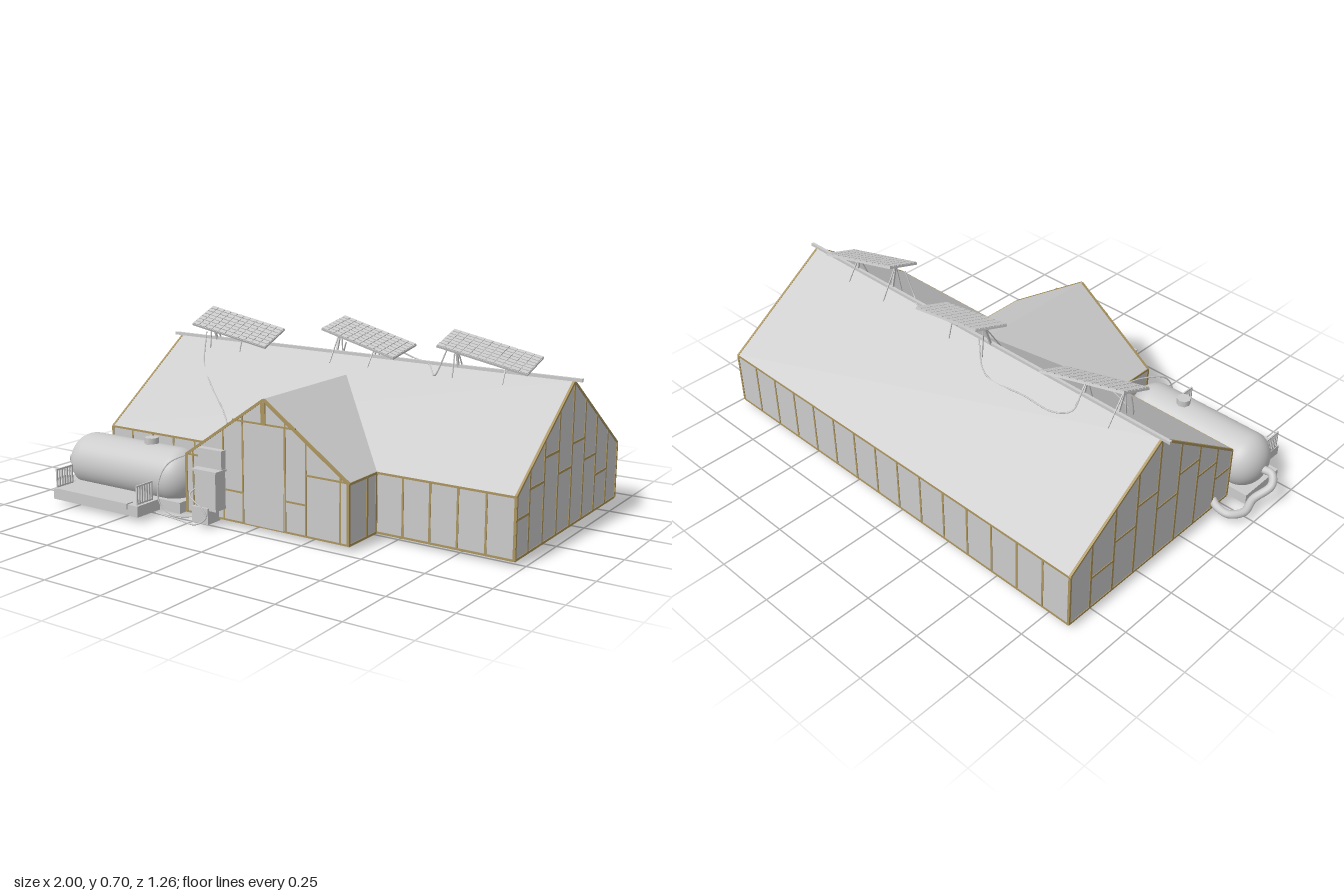
import * as THREE from 'three';

const V = (x, y, z) => new THREE.Vector3(x, y, z);
const grey = new THREE.MeshStandardMaterial({ color: 0xcccccc });
const timber = new THREE.MeshStandardMaterial({ color: 0xab9560 });
const FLOOR = 0.015, EAVE = 0.245, RIDGE = 0.562, RIDGE_Z = -0.172;
const LEFT = 0.97, RIGHT = -0.85, FRONT = 0.28, BACK = -0.624;
const WING_X = 0.06, WING_HALF = 0.365, WING_TOP = 0.498, WING_Z = 0.463;

export function createModel() {
  const model = new THREE.Group();
  const add = (name, geo, mat = grey, parent = model) => {
    const mesh = new THREE.Mesh(geo, mat);
    mesh.name = name;
    parent.add(mesh);
    return mesh;
  };
  const group = (name) => {
    const g = new THREE.Group();
    g.name = name;
    model.add(g);
    return g;
  };
  // Box given by its minimum and maximum corners
  const box = (name, x0, x1, y0, y1, z0, z1, parent, mat) => {
    const m = add(name, new THREE.BoxGeometry(x1 - x0, y1 - y0, z1 - z0), mat, parent);
    m.position.set((x0 + x1) / 2, (y0 + y1) / 2, (z0 + z1) / 2);
    return m;
  };
  // Square bar from a to b
  const bar = (name, a, b, w = 0.008, parent = model, mat = timber) => {
    const m = add(name, new THREE.BoxGeometry(w, w, a.distanceTo(b)), mat, parent);
    m.position.copy(a).lerp(b, 0.5);
    m.lookAt(b);
    return m;
  };
  const tube = (name, pts, r, sides = 6, seg = 64) =>
    add(name, new THREE.TubeGeometry(new THREE.CatmullRomCurve3(pts.map((p) => V(...p))), seg, r, sides));
  const prism = (pts, depth) =>
    new THREE.ExtrudeGeometry(new THREE.Shape(pts.map((p) => new THREE.Vector2(...p))), { depth, bevelEnabled: false });
  const roofY = (z) => RIDGE - (z > RIDGE_Z
    ? (z - RIDGE_Z) / (FRONT - RIDGE_Z) : (RIDGE_Z - z) / (RIDGE_Z - BACK)) * (RIDGE - EAVE);
  const wingY = (x) => WING_TOP - Math.abs(x - WING_X) / WING_HALF * (WING_TOP - EAVE);

  // Main hall, extruded along x, and the gabled front wing
  const hall = add('mainHall', prism([[-FRONT, FLOOR], [-BACK, FLOOR], [-BACK, EAVE], [-RIDGE_Z, RIDGE], [-FRONT, EAVE]], LEFT - RIGHT));
  hall.rotation.y = Math.PI / 2;
  hall.position.x = RIGHT;
  const w0 = WING_X - WING_HALF, w1 = WING_X + WING_HALF;
  const wing = add('frontWing', prism([[w0, FLOOR], [w1, FLOOR], [w1, EAVE], [WING_X, WING_TOP], [w0, EAVE]], WING_Z + 0.08));
  wing.position.z = -0.08;
  bar('ridgeBeam', V(-0.885, 0.565, RIDGE_Z), V(1, 0.565, RIDGE_Z), 0.012, model, grey);

  // Timber frame of both end walls
  const frame = group('timberFrame');
  const Y0 = FLOOR + 0.004, Y1 = EAVE - 0.004;
  const studsZ = [0.278, 0.18, 0.065, -0.053, RIDGE_Z, -0.285, -0.4, -0.517, -0.621];
  const railY = [0.16, EAVE, 0.33, EAVE, 0.33, EAVE, 0.16, 0];
  for (const x of [RIGHT + 0.002, LEFT - 0.002]) {
    studsZ.forEach((z, i) => {
      bar('endStud', V(x, Y0, z), V(x, roofY(z) - 0.004, z), 0.009, frame);
      if (railY[i]) bar('endRail', V(x, railY[i], z), V(x, railY[i], studsZ[i + 1]), 0.009, frame);
    });
    for (const z of [FRONT, BACK]) bar('endRafter', V(x, EAVE - 0.004, z), V(x, RIDGE - 0.004, RIDGE_Z), 0.009, frame);
    bar('endSill', V(x, Y0, FRONT), V(x, Y0, BACK), 0.009, frame);
  }

  // Long walls: back, and the front on both sides of the wing
  const longWall = (x0, x1, z, count) => {
    for (let i = 0; i <= count; i++) {
      const x = x0 + (x1 - x0) * i / count;
      bar('wallStud', V(x, Y0, z), V(x, Y1, z), 0.008, frame);
    }
    for (const y of [Y0, Y1]) bar('wallPlate', V(x0, y, z), V(x1, y, z), 0.008, frame);
  };
  longWall(RIGHT, LEFT, BACK + 0.002, 15);
  longWall(w1, LEFT, FRONT - 0.002, 5);
  longWall(RIGHT, w0, FRONT - 0.002, 5);

  // Wing frame: side walls and gable front
  for (const s of [-1, 1]) {
    const x = WING_X + s * (WING_HALF - 0.002);
    for (const z of [0.285, 0.345, WING_Z - 0.002]) bar('wingStud', V(x, Y0, z), V(x, Y1, z), 0.01, frame);
    for (const y of [Y0, Y1]) bar('wingPlate', V(x, y, FRONT), V(x, y, WING_Z), 0.009, frame);
    const z = WING_Z - 0.002, at = (d) => WING_X + s * d;
    bar('gableRafter', V(at(WING_HALF), EAVE - 0.004, z), V(WING_X, WING_TOP - 0.004, z), 0.01, frame);
    for (const d of [0.095, 0.185, 0.33]) bar('gableStud', V(at(d), Y0, z), V(at(d), wingY(at(d)) - 0.004, z), 0.007, frame);
    bar('gableRail', V(at(0.095), 0.135, z), V(at(0.185), 0.135, z), 0.007, frame);
    bar('gableRail', V(at(0.185), EAVE, z), V(at(0.355), EAVE, z), 0.007, frame);
  }
  bar('gableTie', V(-0.08, 0.405, WING_Z - 0.002), V(0.2, 0.405, WING_Z - 0.002), 0.007, frame);
  bar('gableSill', V(w0, Y0, WING_Z - 0.002), V(w1, Y0, WING_Z - 0.002), 0.007, frame);
  box('kingPost', 0.05, 0.07, 0.405, 0.485, 0.455, 0.467, frame, timber);
  box('door', -0.024, 0.148, 0.02, 0.4, 0.455, 0.465);

  // Tank with elliptical ends, filler cap and outlet pipe
  const profile = [];
  for (let i = 0; i <= 20; i++) {
    const a = Math.PI * (i / 20 - 0.5);
    profile.push(new THREE.Vector2(0.11 * Math.cos(a), 0.09 * Math.sin(a) + (i < 10 ? -0.22 : 0.22)));
    if (i === 10) profile.splice(10, 0, new THREE.Vector2(0.11, -0.22));
  }
  const tank = add('tank', new THREE.LatheGeometry(profile, 40));
  tank.rotation.z = -Math.PI / 2;
  tank.position.set(-0.62, 0.127, 0.395);
  add('tankCap', new THREE.CylinderGeometry(0.028, 0.028, 0.025, 8)).position.set(-0.54, 0.247, 0.39);
  add('tankCapNeck', new THREE.CylinderGeometry(0.018, 0.018, 0.03, 8)).position.set(-0.54, 0.232, 0.39);
  tube('tankPipe', [[-0.92, 0.12, 0.395], [-0.965, 0.12, 0.395], [-0.984, 0.09, 0.37], [-0.955, 0.05, 0.3],
    [-0.965, 0.038, 0.23], [-0.93, 0.038, 0.18], [-0.88, 0.04, 0.18], [-0.84, 0.045, 0.2]], 0.016, 12);

  // Tank platform with its low kerb and slatted side rails
  const stand = group('tankPlatform');
  box('tankBase', -0.93, -0.31, FLOOR, 0.058, 0.29, 0.5, stand);
  box('platformDeck', -0.85, -0.41, FLOOR, 0.058, 0.5, 0.625, stand);
  box('platformKerb', -0.82, -0.46, 0.04, 0.062, 0.595, 0.63, stand);
  for (const x of [-0.845, -0.425]) {
    for (const y of [0.062, 0.13]) bar('railBar', V(x, y, 0.525), V(x, y, 0.612), 0.006, stand, grey);
    for (let i = 0; i < 7; i++) {
      const z = 0.528 + i * 0.0135;
      bar('railSlat', V(x, 0.055, z), V(x, 0.13, z), 0.006, stand, grey);
    }
  }

  // Electrical cabinet beside the door
  box('upperCabinet', -0.225, -0.115, 0.205, 0.285, 0.455, 0.489);
  box('lowerCabinet', -0.215, -0.118, 0.06, 0.21, 0.455, 0.522);
  box('cabinetBase', -0.225, -0.15, 0.008, 0.07, 0.455, 0.53);
  box('cabinetLid', -0.228, -0.112, 0.205, 0.213, 0.455, 0.526);
  const foot = add('drainCover', new THREE.CylinderGeometry(0.012, 0.008, 0.008, 10));
  foot.position.set(0.06, 0.012, 0.2);

  // Solar panels: local x and z follow the panel edges, cells stand proud of the tray
  const panel = (p, xEdge, zEdge, legs) => {
    const g = group('solarPanel');
    const u = V(...xEdge), v = V(...zEdge), n = v.clone().cross(u).normalize();
    const L = u.length(), D = v.length(), cols = 11, rows = 7;
    const tray = new THREE.Group();
    tray.name = 'panelTray';
    tray.applyMatrix4(new THREE.Matrix4().makeBasis(u.clone().normalize(), n, n.clone().cross(u.clone().normalize()).negate()));
    tray.position.set(...p);
    g.add(tray);
    box('tray', -L / 2, L / 2, -0.006, 0.002, -D / 2, D / 2, tray);
    const cw = L / cols, cd = D / rows;
    for (let i = 0; i < cols; i++) for (let j = 0; j < rows; j++) {
      const x = -L / 2 + i * cw, z = -D / 2 + j * cd;
      box('cell', x + 0.002, x + cw - 0.002, 0, 0.005, z + 0.002, z + cd - 0.002, tray);
    }
    // Legs and braces down to the roof
    for (const t of legs) {
      const top = V(...p).addScaledVector(u, t).addScaledVector(n, -0.004);
      bar('panelLeg', V(top.x, 0.555, RIDGE_Z), top, 0.008, g, grey);
      for (const s of [-1, 1]) {
        const z = RIDGE_Z + s * 0.05;
        bar('panelBrace', V(top.x, roofY(z), z), top, 0.004, g, grey);
      }
    }
  };
  panel([-0.522, 0.628, -0.147], [0.355, -0.072, -0.032], [0, -0.058, 0.142], [-0.37, 0.07]);
  panel([0.088, 0.635, -0.197], [0.355, -0.079, 0.033], [0, -0.04, 0.142], [-0.38, 0.12]);
  panel([0.64, 0.636, -0.155], [0.357, -0.075, -0.028], [0, -0.042, 0.142], [-0.38, 0.2]);

  // Cables along the roof, between the panels and down to the cabinet
  const onRoof = (x, z) => [x, roofY(z) + 0.004, z];
  tube('mainCable', [[-0.655, 0.6, -0.1], onRoof(-0.63, -0.05), onRoof(-0.5, 0.06), onRoof(-0.36, 0.16), onRoof(-0.312, 0.21),
    [-0.31, 0.255, 0.3], [-0.32, 0.235, 0.4], [-0.36, 0.205, 0.505], [-0.375, 0.14, 0.543], [-0.37, 0.06, 0.545],
    [-0.32, 0.02, 0.535], [-0.2, 0.03, 0.52]], 0.003, 6, 120);
  tube('panelCable', [[-0.51, 0.6, -0.19], onRoof(-0.5, -0.23), onRoof(-0.44, -0.26), onRoof(-0.3, -0.262),
    onRoof(-0.1, -0.262), [-0.03, 0.6, -0.22]], 0.003);
  tube('panelCable', [[0.24, 0.59, -0.2], [0.3, 0.57, -0.2], onRoof(0.38, -0.165), onRoof(0.43, -0.12), [0.48, 0.63, -0.12]], 0.003);
  tube('cabinetCable', [[-0.24, 0.13, 0.47], [-0.235, 0.11, 0.53], [-0.17, 0.07, 0.54], [-0.15, 0.04, 0.54],
    [-0.2, 0.004, 0.54], [-0.3, 0.004, 0.53], [-0.385, 0.02, 0.55]], 0.003);
  return model;
}
